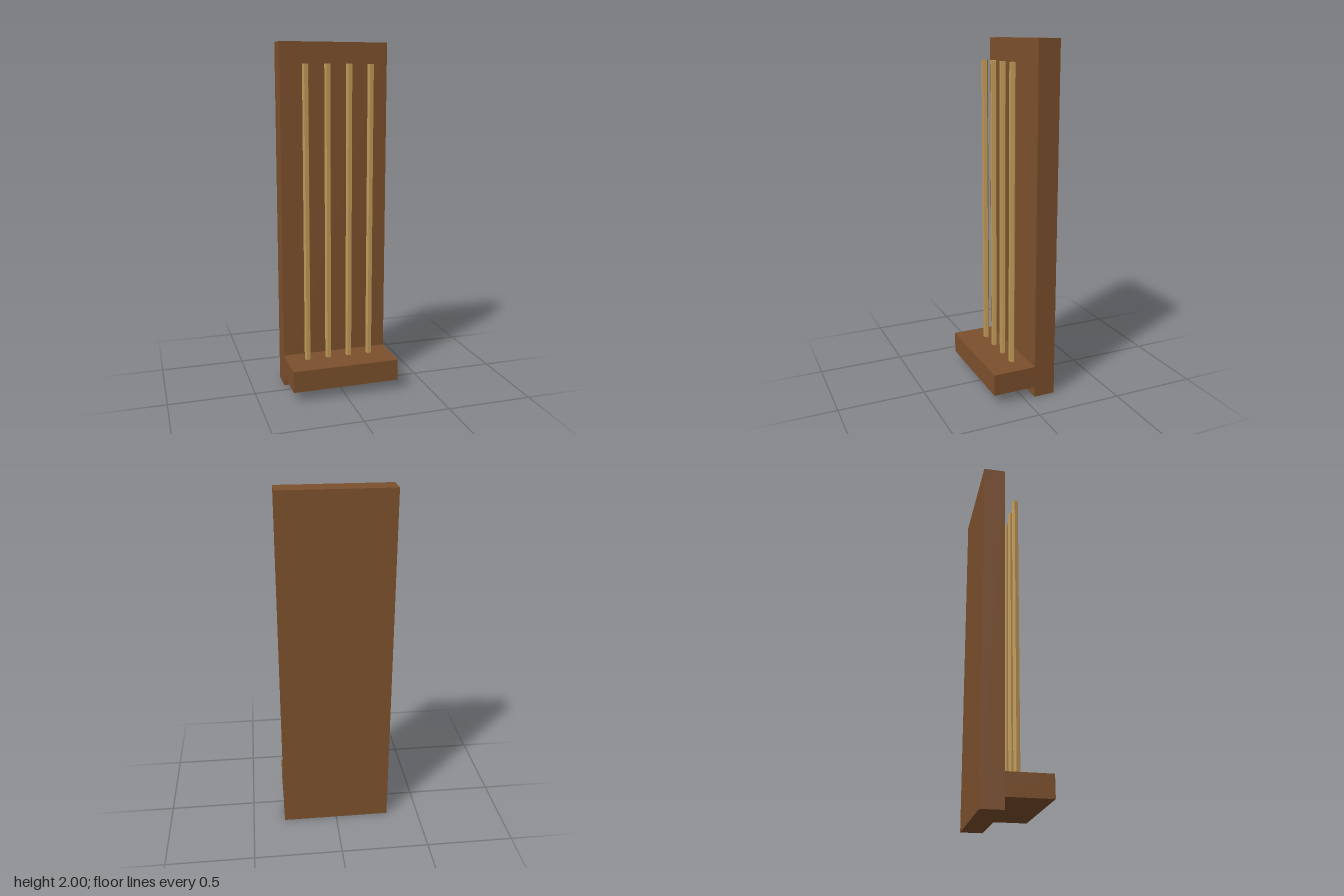
import * as THREE from 'three';

export function createModel() {
  const model = new THREE.Group();
  model.name = 'rodRack';
  const wood = new THREE.MeshStandardMaterial({ color: 0x7d512d });
  wood.name = 'brown wood';
  const paleWood = new THREE.MeshStandardMaterial({ color: 0xc09a58, flatShading: true });
  paleWood.name = 'pale wood';

  function add(name, geometry, material, x, y, z) {
    const mesh = new THREE.Mesh(geometry, material);
    mesh.name = name;
    mesh.position.set(x, y, z);
    model.add(mesh);
  }

  // Upright board and the ledge on its front
  add('backBoard', new THREE.BoxGeometry(0.625, 2, 0.125), wood, 0, 1, -0.125);
  add('ledge', new THREE.BoxGeometry(0.625, 0.125, 0.25), wood, 0, 0.125, 0.0625);

  // Four five-sided rods standing on the ledge, one corner towards the board
  const bottom = 0.1875, top = 1.88;
  const rod = new THREE.CylinderGeometry(0.0188, 0.0188, top - bottom, 5, 1, false, Math.PI);
  for (let i = 0; i < 4; i++) {
    add(`rod${i + 1}`, rod, paleWood, -0.1875 + i * 0.125, (top + bottom) / 2, 0.024);
  }
  return model;
}
